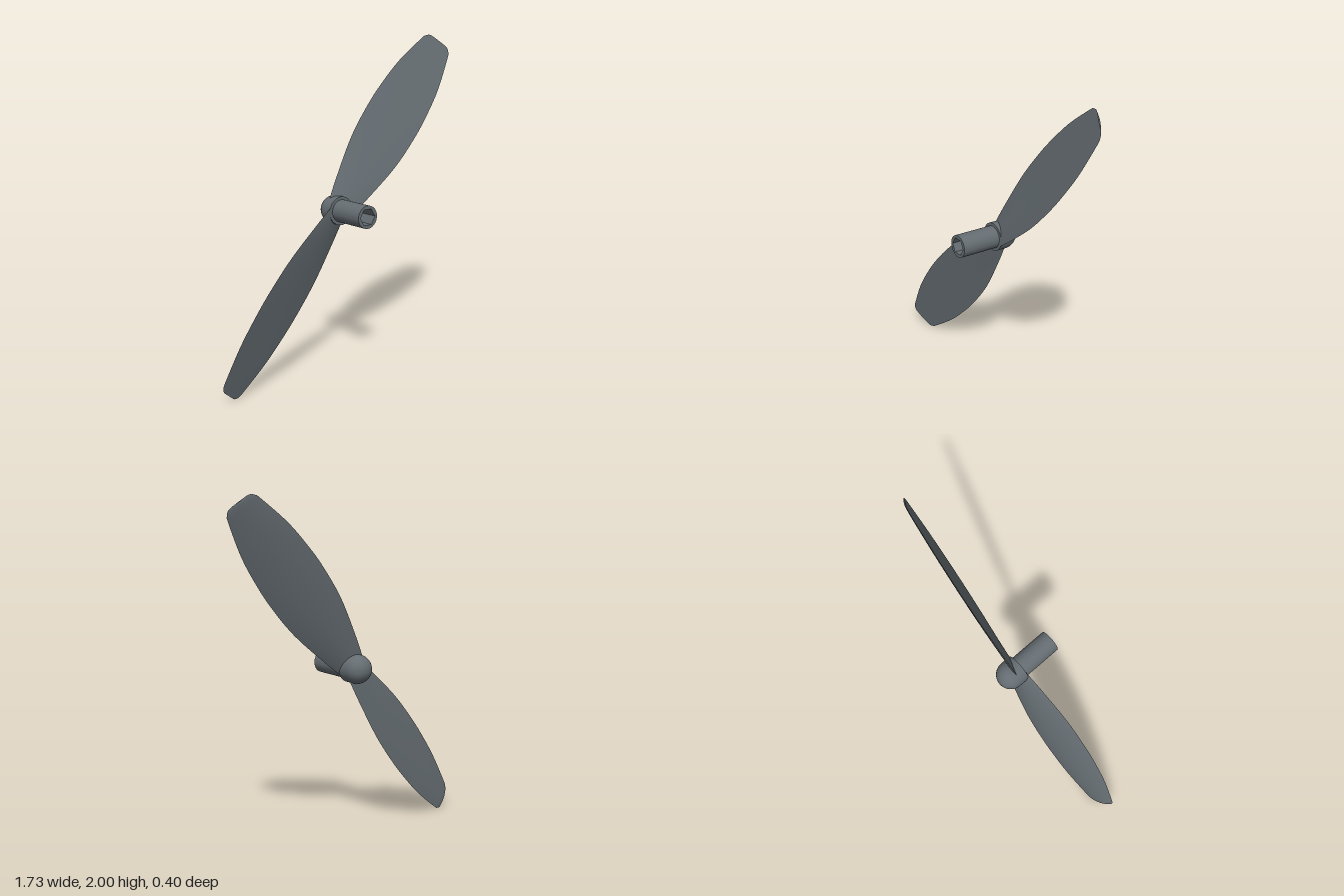
import * as THREE from 'three';
import { toCreasedNormals } from 'three/addons/utils/BufferGeometryUtils.js';

const material = new THREE.MeshStandardMaterial({ color: 0x656d72 });

function part(name, geometry, crease = 0.6) {
  const mesh = new THREE.Mesh(toCreasedNormals(geometry, crease), material);
  mesh.name = name;
  return mesh;
}

// Blade along +x: thin cambered sections, swept through a half-width curve.
function bladeGeometry() {
  const outline = new THREE.SplineCurve([
    [0, 0.075], [0.15, 0.11], [0.42, 0.159], [0.65, 0.172], [0.82, 0.166],
    [1.0, 0.146], [1.2, 0.1], [1.235, 0.086], [1.254, 0.066], [1.258, 0.045],
  ].map(([u, w]) => new THREE.Vector2(u, w))).getPoints(54);
  const M = 12, ring = 2 * M, pitch = 0.36;
  const pos = [], index = [];
  for (const { x: u, y: w } of outline) {
    const taper = Math.sqrt(Math.max(0, 1 - u / 1.258));
    const thick = 0.004 + 0.012 * taper;
    const camber = 0.06 * w;
    for (let k = 0; k < ring; k++) {
      const s = -Math.cos((Math.PI * k) / M);   // -1 to 1 on the front, back again behind
      const side = k <= M ? 1 : -1;
      const bulge = 1 - s * s;
      pos.push(u, w * s, -pitch * w * s + bulge * (side * thick - camber));
    }
  }
  for (let i = 0; i < outline.length - 1; i++) {
    for (let k = 0; k < ring; k++) {
      const a = i * ring + k, d = i * ring + (k + 1) % ring;
      index.push(a, a + ring, d + ring, a, d + ring, d);
    }
  }
  // End caps
  const last = (outline.length - 1) * ring;
  for (let k = 1; k < M; k++) {
    const up = k, upN = k + 1, dn = ring - k, dnN = ring - k - 1;
    index.push(up, upN, dn);
    index.push(last + up, last + dn, last + upN);
    if (upN < M) {
      index.push(upN, dnN, dn);
      index.push(last + upN, last + dn, last + dnN);
    }
  }
  index.push(0, 1, ring - 1, last, last + ring - 1, last + 1);
  const g = new THREE.BufferGeometry();
  g.setAttribute('position', new THREE.Float32BufferAttribute(pos, 3));
  g.setIndex(index);
  return g;
}

export function createModel() {
  const model = new THREE.Group();
  model.name = 'propeller';

  // Two opposite blades
  const blade = bladeGeometry();
  for (let i = 0; i < 2; i++) {
    const mesh = part(i ? 'lowerBlade' : 'upperBlade', blade);
    mesh.rotation.z = 0.869 + i * Math.PI;
    model.add(mesh);
  }

  // Domed hub, flat towards the shaft
  const profile = [new THREE.Vector2(0, 0), new THREE.Vector2(0.086, 0)];
  for (let i = 0; i <= 12; i++) {
    const a = (i / 12) * Math.PI / 2;
    profile.push(new THREE.Vector2(0.086 * Math.cos(a), 0.064 + 0.086 * Math.sin(a)));
  }
  const hub = part('hub', new THREE.LatheGeometry(profile, 40).rotateX(-Math.PI / 2));
  hub.position.z = 0.025;
  model.add(hub);

  // Round shaft with a hexagonal socket
  const section = new THREE.Shape().absarc(0, 0, 0.068, 0, Math.PI * 2, false);
  const socket = [];
  for (let i = 0; i < 6; i++) {
    const a = (i * Math.PI) / 3;
    socket.push(new THREE.Vector2(0.053 * Math.cos(a), 0.053 * Math.sin(a)));
  }
  section.holes.push(new THREE.Path(socket));
  const shaft = part('shaft', new THREE.ExtrudeGeometry(section, {
    depth: 0.25, bevelEnabled: false, curveSegments: 40,
  }));
  shaft.position.z = 0.023;
  model.add(shaft);

  // Slight backward lean of the whole propeller
  model.rotation.x = -0.036;
  model.position.set(0, 1, -0.075);

  const root = new THREE.Group();
  root.name = 'model';
  root.add(model);
  return root;
}
